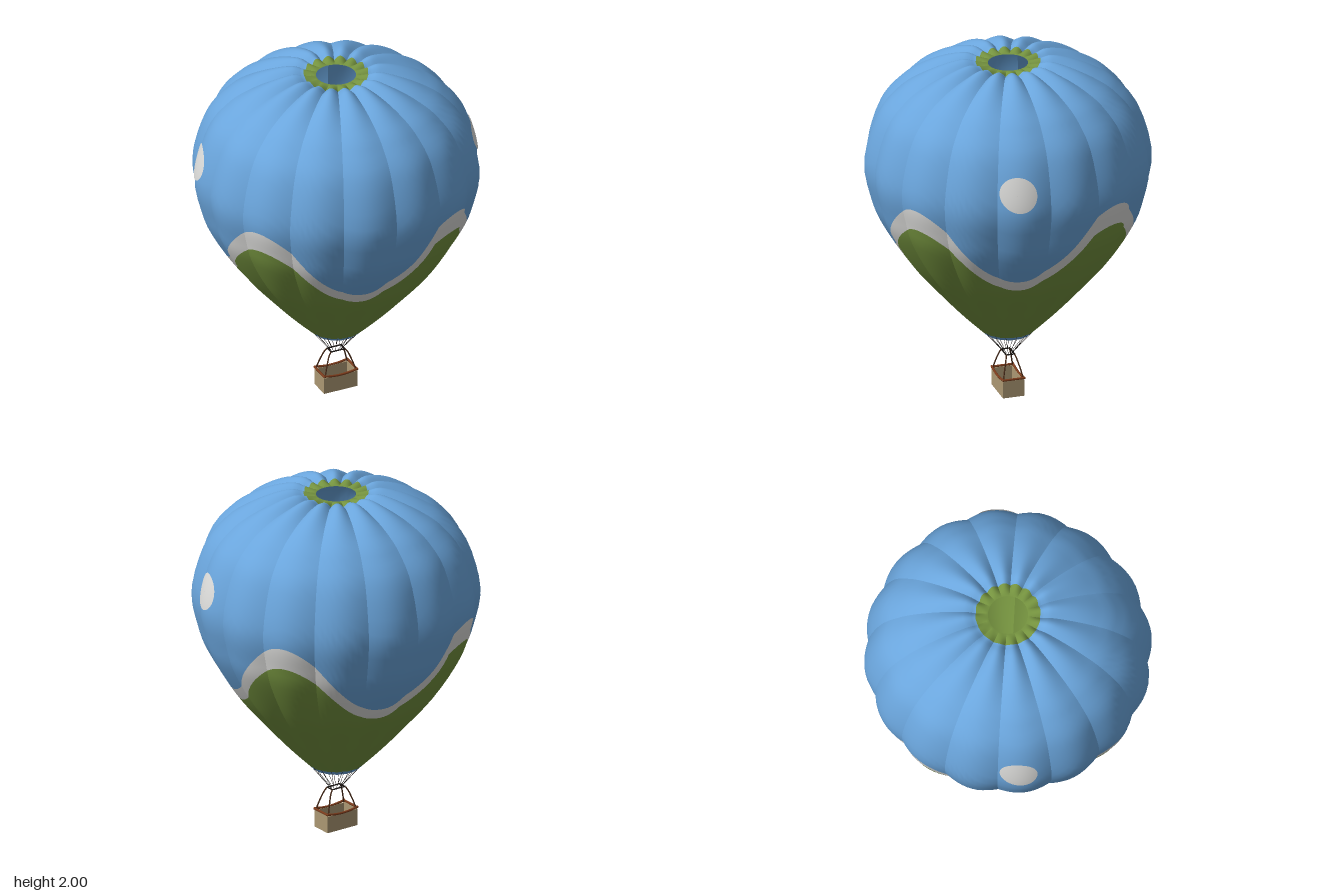
import * as THREE from 'three';
import { mergeGeometries } from 'three/addons/utils/BufferGeometryUtils.js';
import { ParametricGeometry } from 'three/addons/geometries/ParametricGeometry.js';

const GORES = 16;
const V = (x, y, z) => new THREE.Vector3(x, y, z);

function material(name, color, side = THREE.FrontSide) {
  const m = new THREE.MeshStandardMaterial({ color, side });
  m.name = name;
  return m;
}

// Envelope profile (radius, height) from mouth to crown opening
const profile = new THREE.SplineCurve([
  [0.130, 0.355], [0.265, 0.49], [0.392, 0.63], [0.565, 0.835], [0.70, 1.05],
  [0.758, 1.20], [0.793, 1.41], [0.722, 1.67], [0.605, 1.82], [0.49, 1.905],
  [0.37, 1.965], [0.25, 1.998], [0.18, 1.985], [0.11, 1.968],
].map(([r, y]) => new THREE.Vector2(r, y)));
const RING_T = 12 / 13;

// Profile parameter at a given height (below the crown)
function tAt(y) {
  let lo = 0, hi = 0.8;
  for (let i = 0; i < 26; i++) {
    const mid = (lo + hi) / 2;
    if (profile.getPoint(mid).y < y) lo = mid; else hi = mid;
  }
  return lo;
}

// Point on gore g: u runs across the gore, t along the profile
function envelopePoint(g, u, t, target) {
  const p = profile.getPoint(Math.min(t, 1));
  const groove = 1 - Math.sin(Math.PI * u);
  const fade = 1 - THREE.MathUtils.smoothstep(t, 0.9, 1);
  const r = p.x * (1 - 0.032 * groove * fade);
  const drop = 0.03 * groove * THREE.MathUtils.smoothstep(t, 0.55, 0.85) * fade;
  const a = (g + u) * 2 * Math.PI / GORES;
  return target.set(Math.sin(a) * r, p.y - drop, Math.cos(a) * r);
}

// Four-fold wave between two heights
function wave(low, high) {
  return (a) => {
    const c = (1 + Math.cos(4 * (a - THREE.MathUtils.degToRad(31.5)))) / 2;
    return tAt(low + (high - low) * Math.pow(c, 1.25));
  };
}

// Band of all gores between two boundary functions of the angle
function band(from, to, stacks) {
  const parts = [];
  for (let g = 0; g < GORES; g++) {
    parts.push(new ParametricGeometry((u, v, target) => {
      const a = (g + u) * 2 * Math.PI / GORES;
      envelopePoint(g, u, THREE.MathUtils.lerp(from(a), to(a), v), target);
    }, 10, stacks));
  }
  return mergeGeometries(parts);
}

// Round patch lying on the envelope, centred at z, y on the +x side
function patch(z0, y0, radius) {
  return new ParametricGeometry((u, v, target) => {
    const phi = u * 2 * Math.PI, rho = radius * (0.001 + 0.999 * v);
    const z = z0 - rho * Math.cos(phi), y = y0 - rho * Math.sin(phi);
    const t = tAt(y);
    let a = Math.PI / 2;
    for (let i = 0; i < 5; i++) {
      const s = a * GORES / (2 * Math.PI), g = Math.floor(s);
      envelopePoint(g, s - g, t, target);
      a = Math.acos(z / Math.hypot(target.x, target.z));
    }
    target.x += 0.005 * Math.sin(a);
    target.z += 0.005 * Math.cos(a);
  }, 40, 8);
}

function tube(points, radius, segments = 12, sides = 8) {
  return new THREE.TubeGeometry(new THREE.CatmullRomCurve3(points), segments, radius, sides);
}

export function createModel() {
  const root = new THREE.Group();
  root.name = 'hotAirBalloon';
  const blue = material('sky blue fabric', 0x6aa5dc, THREE.DoubleSide);
  const green = material('green fabric', 0x75933f, THREE.DoubleSide);
  const white = material('white fabric', 0xdcdcda, THREE.DoubleSide);
  const wicker = material('tan wicker', 0xac9873);
  const rust = material('rust leather', 0x7d3c1c);
  const brown = material('dark brown', 0x4a2c1a);
  const black = material('black rope', 0x1c1815);
  const add = (parent, name, geometry, mat) => {
    const mesh = new THREE.Mesh(geometry, mat);
    mesh.name = name;
    parent.add(mesh);
    return mesh;
  };

  // Envelope colour bands
  const envelope = new THREE.Group();
  envelope.name = 'envelope';
  root.add(envelope);
  const skirtT = tAt(0.38);
  const lower = wave(0.855, 1.215), upper = wave(0.925, 1.345);
  add(envelope, 'mouthBand', band(() => 0, () => skirtT, 2), blue);
  add(envelope, 'lowerPanels', band(() => skirtT, lower, 16), green);
  add(envelope, 'waveStripe', band(lower, upper, 5), white);
  add(envelope, 'upperPanels', band(upper, () => RING_T, 26), blue);
  add(envelope, 'crownRing', band(() => RING_T, () => 1, 4), green);

  // Round patches on opposite sides
  const dot = patch(0.18, 1.51, 0.098);
  add(envelope, 'leftPatch', dot, white);
  add(envelope, 'rightPatch', dot, white).rotation.y = Math.PI;

  // Basket floor and walls
  const basket = new THREE.Group();
  basket.name = 'basket';
  root.add(basket);
  const box = (name, w, h, d, x, y, z) =>
    add(basket, name, new THREE.BoxGeometry(w, h, d), wicker).position.set(x, y, z);
  box('floor', 0.2, 0.01, 0.12, 0, 0.005, 0);
  for (const s of [-1, 1]) {
    box('longWall', 0.204, 0.096, 0.008, 0, 0.048, s * 0.058);
    box('endWall', 0.008, 0.1, 0.116, s * 0.098, 0.05, 0);
    // Padded rim, dipping along the long sides
    add(basket, 'longRim', tube([V(-0.104, 0.109, s * 0.061), V(-0.05, 0.1, s * 0.061),
      V(0, 0.097, s * 0.061), V(0.05, 0.1, s * 0.061), V(0.104, 0.109, s * 0.061)], 0.0065), rust);
    add(basket, 'endRim', tube([V(s * 0.1, 0.106, -0.066), V(s * 0.1, 0.106, 0.066)], 0.0065, 2), rust);
  }

  // Burner frame and its four bent posts
  const frame = new THREE.Group();
  frame.name = 'burnerFrame';
  root.add(frame);
  for (const s of [-1, 1]) {
    add(frame, 'longBar', tube([V(-0.045, 0.231, s * 0.024), V(0.045, 0.231, s * 0.024)], 0.004, 2), black);
    add(frame, 'crossBar', tube([V(s * 0.042, 0.231, -0.024), V(s * 0.042, 0.231, 0.024)], 0.004, 2), black);
    for (const k of [-1, 1]) {
      add(frame, 'post', tube([V(s * 0.095, 0.1, k * 0.058), V(s * 0.075, 0.165, k * 0.043),
        V(s * 0.055, 0.215, k * 0.029), V(s * 0.042, 0.231, k * 0.024)], 0.004), brown);
    }
  }

  // Suspension ropes from the mouth to the frame
  const ropes = [];
  for (let g = 0; g < GORES; g++) {
    const a = g * 2 * Math.PI / GORES;
    ropes.push(tube([envelopePoint(g, 0, 0.02, V(0, 0, 0)),
      V(0.035 * Math.sin(a), 0.231, 0.022 * Math.cos(a))], 0.0012, 1, 5));
  }
  add(root, 'ropes', mergeGeometries(ropes), black);
  return root;
}
